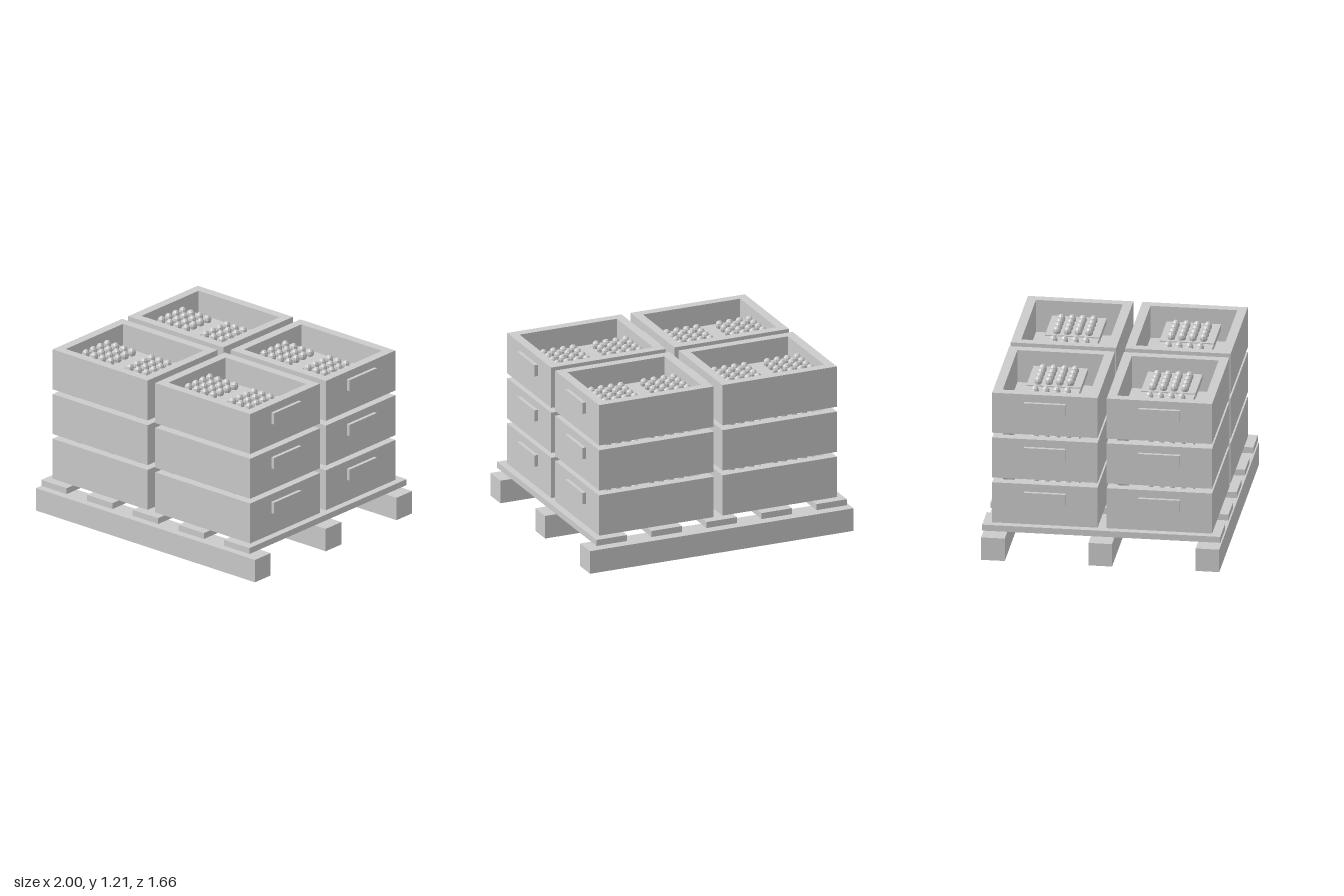
import * as THREE from 'three';

const material = new THREE.MeshStandardMaterial({ color: 0xcccccc, flatShading: true });

const CRATE = { w: 0.868, h: 0.298, d: 0.735, wall: 0.065, floor: 0.06 };
const TRAY = 0.38;
const PITCH = 0.075;

function add(parent, name, geometry, x = 0, y = 0, z = 0) {
  const mesh = new THREE.Mesh(geometry, material);
  mesh.name = name;
  mesh.position.set(x, y, z);
  parent.add(mesh);
  return mesh;
}

function rectangle(PathType, w, d) {
  return new PathType([
    new THREE.Vector2(-w / 2, -d / 2), new THREE.Vector2(w / 2, -d / 2),
    new THREE.Vector2(w / 2, d / 2), new THREE.Vector2(-w / 2, d / 2),
  ]);
}

// Rectangular wall ring, standing on y = 0
function wallGeometry() {
  const { w, h, d, wall } = CRATE;
  const outline = rectangle(THREE.Shape, w, d);
  outline.holes.push(rectangle(THREE.Path, w - 2 * wall, d - 2 * wall));
  return new THREE.ExtrudeGeometry(outline, { depth: h, bevelEnabled: false }).rotateX(-Math.PI / 2);
}

const walls = wallGeometry();
const floor = new THREE.BoxGeometry(CRATE.w - 2 * CRATE.wall, CRATE.floor, CRATE.d - 2 * CRATE.wall);
const handle = new THREE.BoxGeometry(0.05, 0.083, 0.29);
const trayBoard = new THREE.BoxGeometry(TRAY, 0.04, TRAY);
const egg = new THREE.SphereGeometry(0.028, 8, 6).scale(1, 1.2, 1);

// Tray carrying a 4 x 4 block of eggs
function createTray() {
  const tray = new THREE.Group();
  tray.name = 'eggTray';
  add(tray, 'trayBoard', trayBoard);
  for (let i = 0; i < 4; i++) {
    for (let j = 0; j < 4; j++) {
      add(tray, 'egg', egg, (i - 2) * PITCH, 0.04, (j - 1.5) * PITCH);
    }
  }
  return tray;
}

// Open crate with a grip on each end and two trays inside
function createCrate() {
  const crate = new THREE.Group();
  crate.name = 'crate';
  add(crate, 'crateWalls', walls);
  add(crate, 'crateFloor', floor, 0, CRATE.floor / 2, 0);
  for (const side of [-1, 1]) {
    add(crate, 'handle', handle, side * CRATE.w / 2, 0.2, 0);
    const tray = createTray();
    tray.position.set(side * 0.2, 0.168, 0);
    crate.add(tray);
  }
  return crate;
}

export function createModel() {
  const model = new THREE.Group();
  model.name = 'palletOfCrates';

  // Pallet: three runners below five slats
  const pallet = new THREE.Group();
  pallet.name = 'pallet';
  model.add(pallet);
  const runner = new THREE.BoxGeometry(2, 0.167, 0.165);
  for (const z of [-0.7475, 0, 0.7475]) add(pallet, 'runner', runner, 0, 0.0835, z);
  const slat = new THREE.BoxGeometry(0.232, 0.044, 1.66);
  for (let i = -2; i <= 2; i++) add(pallet, 'slat', slat, i * 0.417, 0.22, 0);

  // Four stacks of three crates
  for (const x of [-0.468, 0.468]) {
    for (const z of [-0.399, 0.399]) {
      for (let level = 0; level < 3; level++) {
        const crate = createCrate();
        crate.position.set(x, 0.244 + level * 0.3335, z);
        model.add(crate);
      }
    }
  }
  return model;
}
